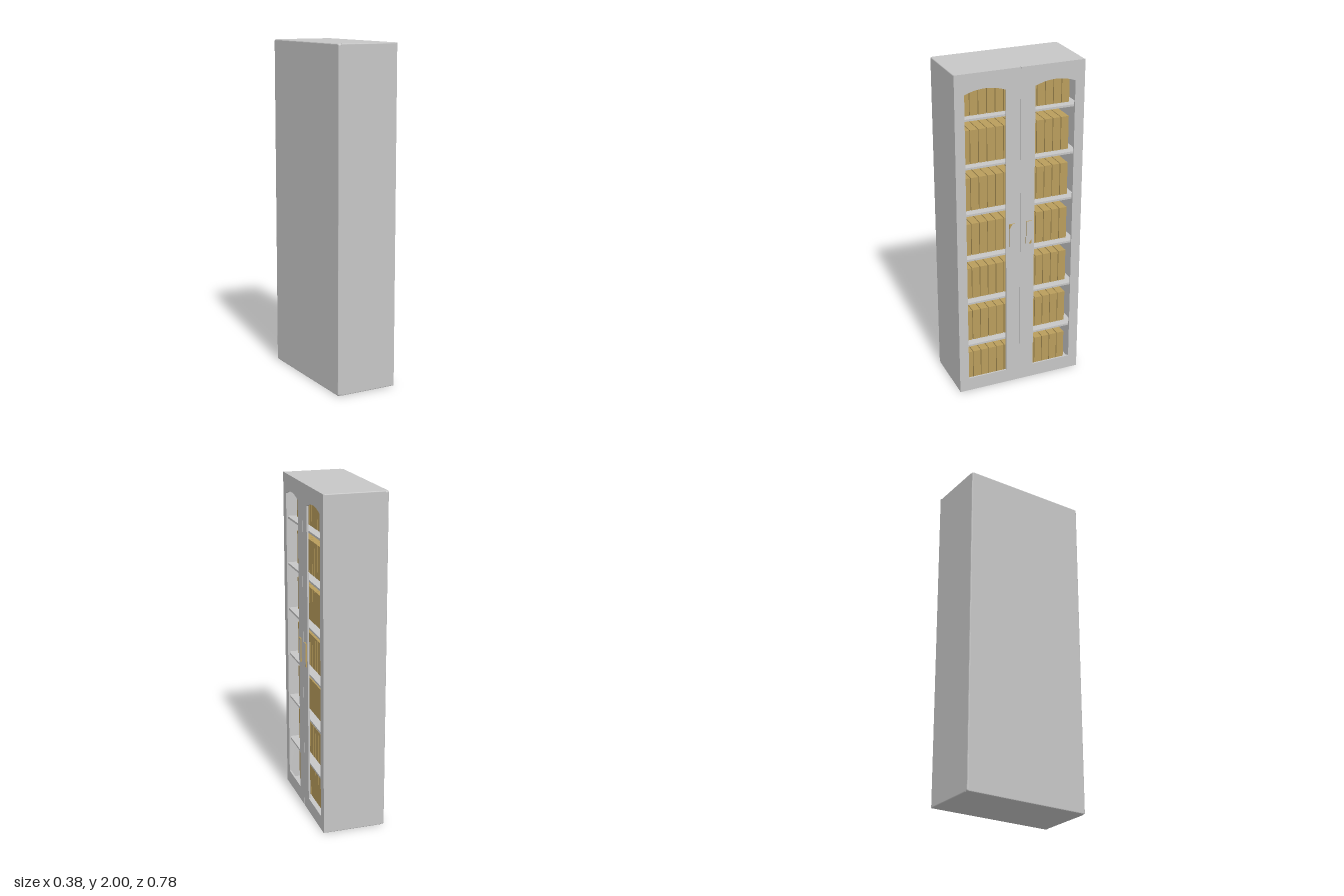
import * as THREE from 'three';

const HALF = 0.39, HEIGHT = 2, BACK = -0.19, DOOR = 0.175, FRONT = 0.185, WALL = 0.025, R = 0.006;

const grey = new THREE.MeshStandardMaterial({ color: 0xc6c6c6 });
grey.name = 'paintedGrey';
const gold = new THREE.MeshStandardMaterial({ color: 0xb99d5c });
gold.name = 'ochre';

function addMesh(parent, name, geometry, material, x = 0, y = 0, z = 0) {
  const mesh = new THREE.Mesh(geometry, material);
  mesh.name = name;
  mesh.position.set(x, y, z);
  parent.add(mesh);
  return mesh;
}

// Rectangle with slightly rounded corners, inset from the cabinet outline
function outline(inset) {
  const a = HALF - inset, b = inset, t = HEIGHT - inset, r = R;
  const s = new THREE.Shape();
  s.moveTo(-a + r, b);
  s.lineTo(a - r, b);
  s.quadraticCurveTo(a, b, a, b + r);
  s.lineTo(a, t - r);
  s.quadraticCurveTo(a, t, a - r, t);
  s.lineTo(-a + r, t);
  s.quadraticCurveTo(-a, t, -a, t - r);
  s.lineTo(-a, b + r);
  s.quadraticCurveTo(-a, b, -a + r, b);
  return s;
}

// Extrude a front elevation along +x
function extrudeX(shape, options) {
  const g = new THREE.ExtrudeGeometry(shape, { bevelEnabled: false, curveSegments: 10, ...options });
  return g.rotateY(Math.PI / 2);
}

// Door leaf with one tall arched opening
function doorGeometry() {
  const s = new THREE.Shape();
  s.moveTo(0.001, 0);
  s.lineTo(HALF, 0);
  s.lineTo(HALF, HEIGHT);
  s.lineTo(0.001, HEIGHT);
  s.closePath();
  const hole = new THREE.Path();
  hole.moveTo(0.088, 0.085);
  hole.lineTo(0.088, 1.883);
  hole.quadraticCurveTo(0.21, 1.932, 0.332, 1.883);
  hole.lineTo(0.332, 0.085);
  hole.closePath();
  s.holes.push(hole);
  return extrudeX(s, { depth: FRONT - DOOR });
}

export function createModel() {
  const model = new THREE.Group();
  model.name = 'bookCabinet';

  // Carcass: sides, top and bottom in one frame, closed by a soft-edged back
  const frame = outline(0);
  const inner = new THREE.Path();
  const w = HALF - WALL;
  inner.moveTo(-w, WALL);
  inner.lineTo(-w, HEIGHT - WALL);
  inner.lineTo(w, HEIGHT - WALL);
  inner.lineTo(w, WALL);
  inner.closePath();
  frame.holes.push(inner);
  const backEnd = BACK + 0.02;
  addMesh(model, 'carcassFrame', extrudeX(frame, { depth: DOOR - backEnd }), grey, backEnd);
  const backGeo = extrudeX(outline(R), {
    depth: 0.02 - R, bevelEnabled: true, bevelThickness: R, bevelSize: R, bevelSegments: 3,
  });
  addMesh(model, 'backPanel', backGeo, grey, BACK + R);

  // Shelves, each with a row of books; the lowest row stands on the floor
  const shelfGeo = new THREE.BoxGeometry(0.33, 0.012, 2 * w);
  const bookGeo = new THREE.BoxGeometry(0.25, 0.2, 0.046);
  for (let row = 0; row < 7; row++) {
    const y = WALL + row * 0.2855;
    if (row > 0) addMesh(model, 'shelf', shelfGeo, grey, 0.005, y - 0.006, 0);
    const books = new THREE.Group();
    books.name = 'bookRow';
    for (let i = -6; i <= 6; i++) addMesh(books, 'book', bookGeo, gold, -0.005, y + 0.1, i * 0.0507);
    model.add(books);
  }

  // Doors: the profile is drawn for -z and turned about for +z
  const right = addMesh(model, 'rightDoor', doorGeometry(), grey, DOOR);
  right.name = 'doorBackHalf';
  const left = addMesh(model, 'doorFrontHalf', doorGeometry(), grey, FRONT);
  left.rotation.y = Math.PI;

  // Handles: ochre edges, grey face, with a small ochre corner inlay
  const handleGeo = new THREE.BoxGeometry(0.007, 0.145, 0.035);
  const corner = new THREE.Shape([
    new THREE.Vector2(-0.0175, 0.0725),
    new THREE.Vector2(-0.0175, 0.042),
    new THREE.Vector2(0.002, 0.0725),
  ]);
  const cornerGeo = new THREE.ShapeGeometry(corner).rotateY(Math.PI / 2);
  for (const side of [1, -1]) {
    const handle = new THREE.Group();
    handle.name = 'handle';
    addMesh(handle, 'handlePlate', handleGeo, [grey, gold, gold, gold, gold, gold]);
    const inlay = addMesh(handle, 'handleInlay', cornerGeo, gold, 0.0038);
    if (side < 0) inlay.rotation.x = Math.PI;
    handle.position.set(FRONT + 0.0035, 0.997, side * 0.053);
    model.add(handle);
  }

  return model;
}
